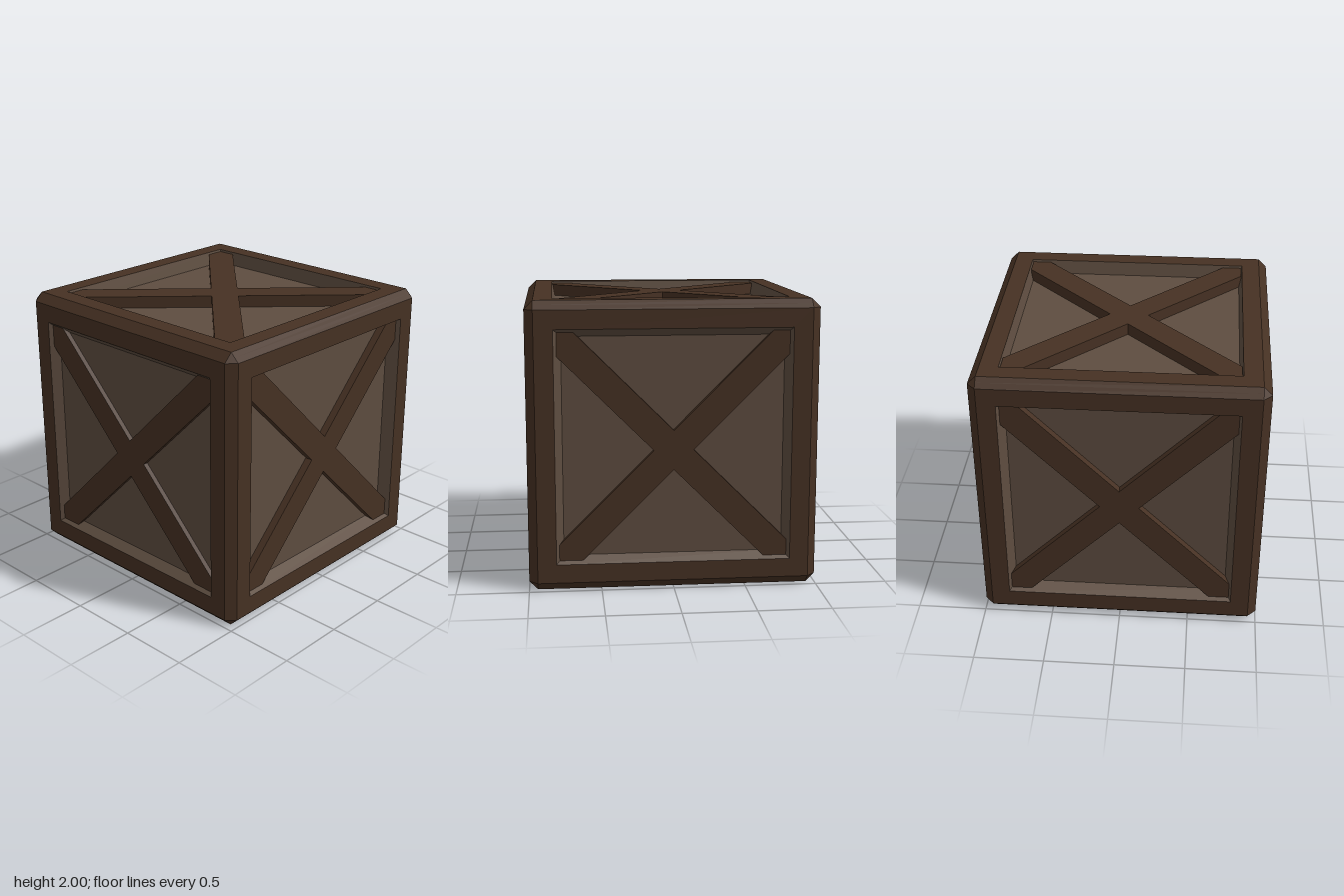
import * as THREE from 'three';

const EDGE = 0.94;  // flat face half size, inside the chamfer
const OPEN = 0.81;  // opening half size

const wood = new THREE.MeshStandardMaterial({ color: 0x463123, flatShading: true });
const board = new THREE.MeshStandardMaterial({ color: 0x5e4d40, flatShading: true });

// Builds a geometry from convex polygons, repeated on the four sides of a face
function fourSided(polygons) {
  const pos = [];
  for (let i = 0; i < 4; i++) {
    const turn = (p) => new THREE.Vector3(...p).applyAxisAngle(new THREE.Vector3(0, 0, 1), i * Math.PI / 2);
    for (const poly of polygons) {
      for (let k = 1; k < poly.length - 1; k++) {
        for (const p of [poly[0], poly[k], poly[k + 1]]) pos.push(...turn(p).toArray());
      }
    }
  }
  const g = new THREE.BufferGeometry();
  g.setAttribute('position', new THREE.Float32BufferAttribute(pos, 3));
  g.computeVertexNormals();
  return g;
}

// Frame rim: flat border, half of the chamfer, and its share of the corner cuts
function frameGeometry() {
  const mid = (1 + EDGE) / 2, tip = (1 + 2 * EDGE) / 3;
  const flatL = [-EDGE, -EDGE, 1], flatR = [EDGE, -EDGE, 1];
  const midL = [-EDGE, -mid, mid], midR = [EDGE, -mid, mid];
  return fourSided([
    [flatL, flatR, [OPEN, -OPEN, 1], [-OPEN, -OPEN, 1]],
    [midL, midR, flatR, flatL],
    [[-tip, -tip, tip], midL, flatL],
    [midR, [tip, -tip, tip], flatR],
  ]);
}

// Sloped walls from the opening down to the panel
function recessGeometry({ panel, floor }) {
  return fourSided([
    [[-OPEN, -OPEN, 1], [OPEN, -OPEN, 1], [panel, -panel, floor], [-panel, -panel, floor]],
  ]);
}

// Crossed diagonal beams, their crossing dropped slightly, with ends cut square
function crossGeometry({ floor, beamTop, end: e, drop: s }) {
  const c = 0.137;
  const right = [
    [0, -s - c], [e - s - c, -e], [e, -e], [e, c - e - s],
    [c, -s], [e, e - s - c], [e, e], [e + s - c, e], [0, c - s],
  ];
  const left = right.slice(1, -1).reverse().map(([x, y]) => [-x, y]);
  const shape = new THREE.Shape([...right, ...left].map(([x, y]) => new THREE.Vector2(x, y)));
  const g = new THREE.ExtrudeGeometry(shape, { depth: beamTop - floor, bevelEnabled: false });
  return g.translate(0, 0, floor);
}

export function createModel() {
  const model = new THREE.Group();
  model.name = 'crate';

  // Recess depth, panel size and beam placement for each kind of side
  const frontBack = { floor: 0.915, panel: 0.765, beamTop: 0.97, end: 0.795, drop: 0.01 };
  const leftRight = { floor: 0.94, panel: 0.758, beamTop: 0.975, end: 0.79, drop: 0.025 };
  const lid = { floor: 0.9, panel: 0.79, beamTop: 0.985, end: 0.803, drop: 0 };
  const base = { floor: 0.93, panel: 0.78, beamTop: 0.975, end: 0.8, drop: 0 };

  const q = Math.PI / 2;
  const sides = [
    ['frontSide', 0, 0, frontBack],
    ['backSide', 0, 2 * q, frontBack],
    ['leftSide', 0, q, leftRight],
    ['rightSide', 0, -q, leftRight],
    ['topSide', -q, 0, lid],
    ['bottomSide', q, 0, base],
  ];
  for (const [name, rx, ry, size] of sides) {
    const side = new THREE.Group();
    side.name = name;
    const parts = [
      ['frame', frameGeometry(), wood],
      ['recessWalls', recessGeometry(size), board],
      ['panel', new THREE.PlaneGeometry(2 * size.panel, 2 * size.panel).translate(0, 0, size.floor), board],
      ['crossBeams', crossGeometry(size), wood],
    ];
    for (const [part, geometry, material] of parts) {
      const mesh = new THREE.Mesh(geometry, material);
      mesh.name = part;
      side.add(mesh);
    }
    side.rotation.set(rx, ry, 0);
    side.position.y = 1;
    model.add(side);
  }
  return model;
}
